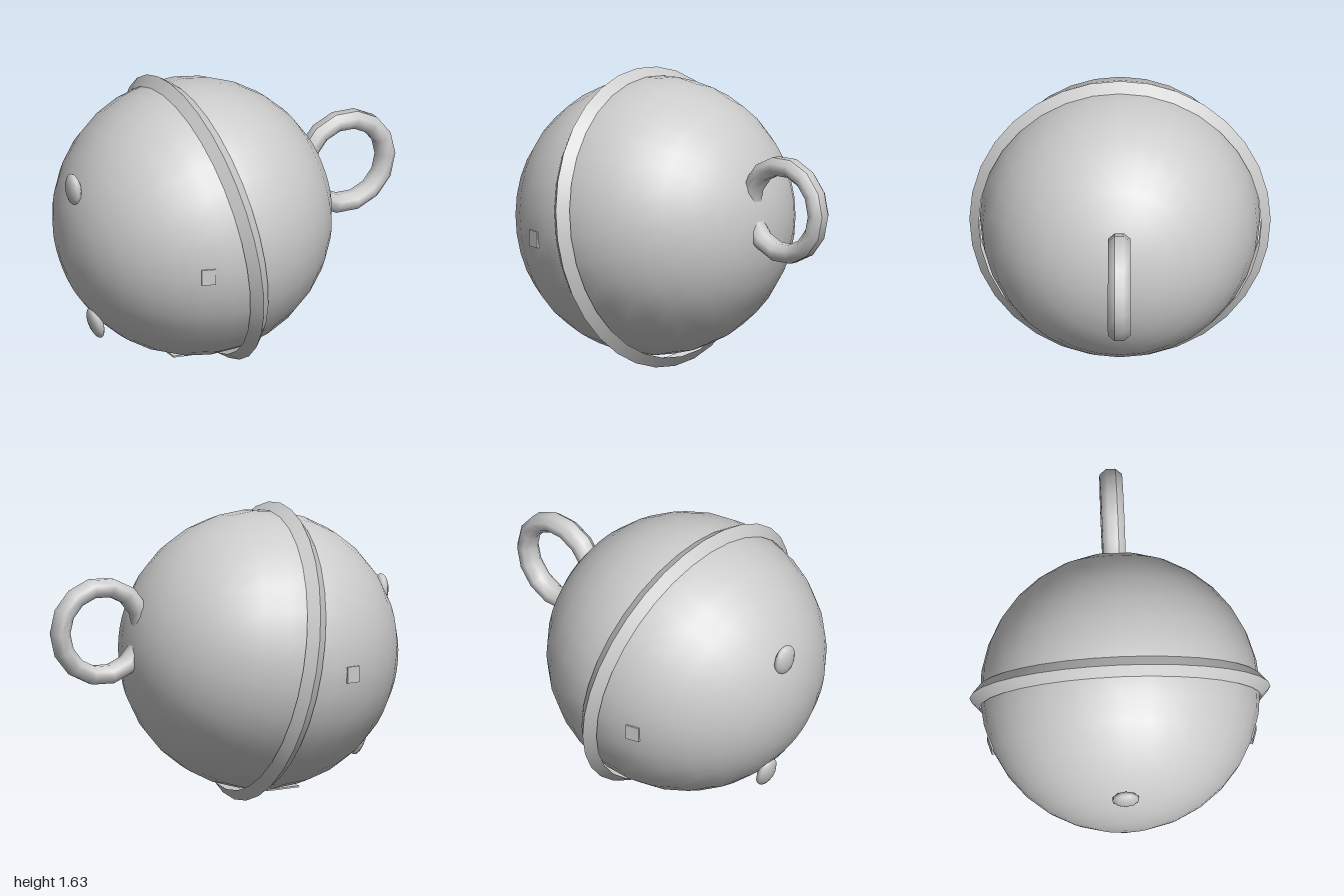
import * as THREE from 'three';

const TILT = THREE.MathUtils.degToRad(9.6);

export function createModel() {
  const model = new THREE.Group();
  const grey = new THREE.MeshStandardMaterial({ color: 0xcccccc });
  grey.name = 'plainGrey';
  grey.side = THREE.DoubleSide;

  const add = (name, geometry, x, y, z, rotZ = 0) => {
    const mesh = new THREE.Mesh(geometry, grey);
    mesh.name = name;
    mesh.position.set(x, y, z);
    mesh.rotation.z = rotZ;
    model.add(mesh);
    return mesh;
  };

  // Round body, poles along the tilted axis
  add('body', new THREE.SphereGeometry(0.768, 32, 16), -0.23, 0.825, 0, TILT - Math.PI / 2);

  // Raised belt: two sloping faces meeting at a sharp ridge, open inside
  const slopes = [
    ['beltRightSlope', [0.774, -0.056], [0.825, 0]],
    ['beltLeftSlope', [0.825, 0], [0.774, 0.056]],
  ];
  for (const [name, a, b] of slopes) {
    const profile = [new THREE.Vector2(...a), new THREE.Vector2(...b)];
    add(name, new THREE.LatheGeometry(profile, 32), -0.225, 0.815, 0, TILT + Math.PI / 2);
  }

  // Hanging loop: ring with an eight-sided section, flat on its outer rim
  const section = [];
  for (let i = 0; i <= 8; i++) {
    const a = ((i + 0.5) / 8) * Math.PI * 2;
    section.push(new THREE.Vector2(0.245 + 0.055 * Math.cos(a), 0.067 * Math.sin(a)));
  }
  const ring = new THREE.LatheGeometry(section, 14);
  ring.rotateY(Math.PI / 2);
  ring.rotateX(Math.PI / 2);
  add('loop', ring, 0.704, 0.98, 0);

  // Two small oval studs on the end opposite the loop
  const stud = new THREE.SphereGeometry(1, 10, 8);
  add('upperStud', stud, -0.957, 1.11, 0, 0.08).scale.set(0.036, 0.092, 0.076);
  add('lowerStud', stud, -0.822, 0.3, 0, 0.3).scale.set(0.036, 0.095, 0.07);

  // Flat plate let into the underside
  add('bottomPlate', new THREE.BoxGeometry(0.19, 0.009, 0.28), -0.32, 0.068, 0, -0.06);

  // Small chips just breaking the surface on both sides
  for (const side of [1, -1]) {
    const chip = add('sideChip', new THREE.BoxGeometry(0.08, 0.09, 0.03), -0.485, 0.77, side * 0.712);
    chip.rotation.y = -side * 0.28;
  }

  return model;
}
